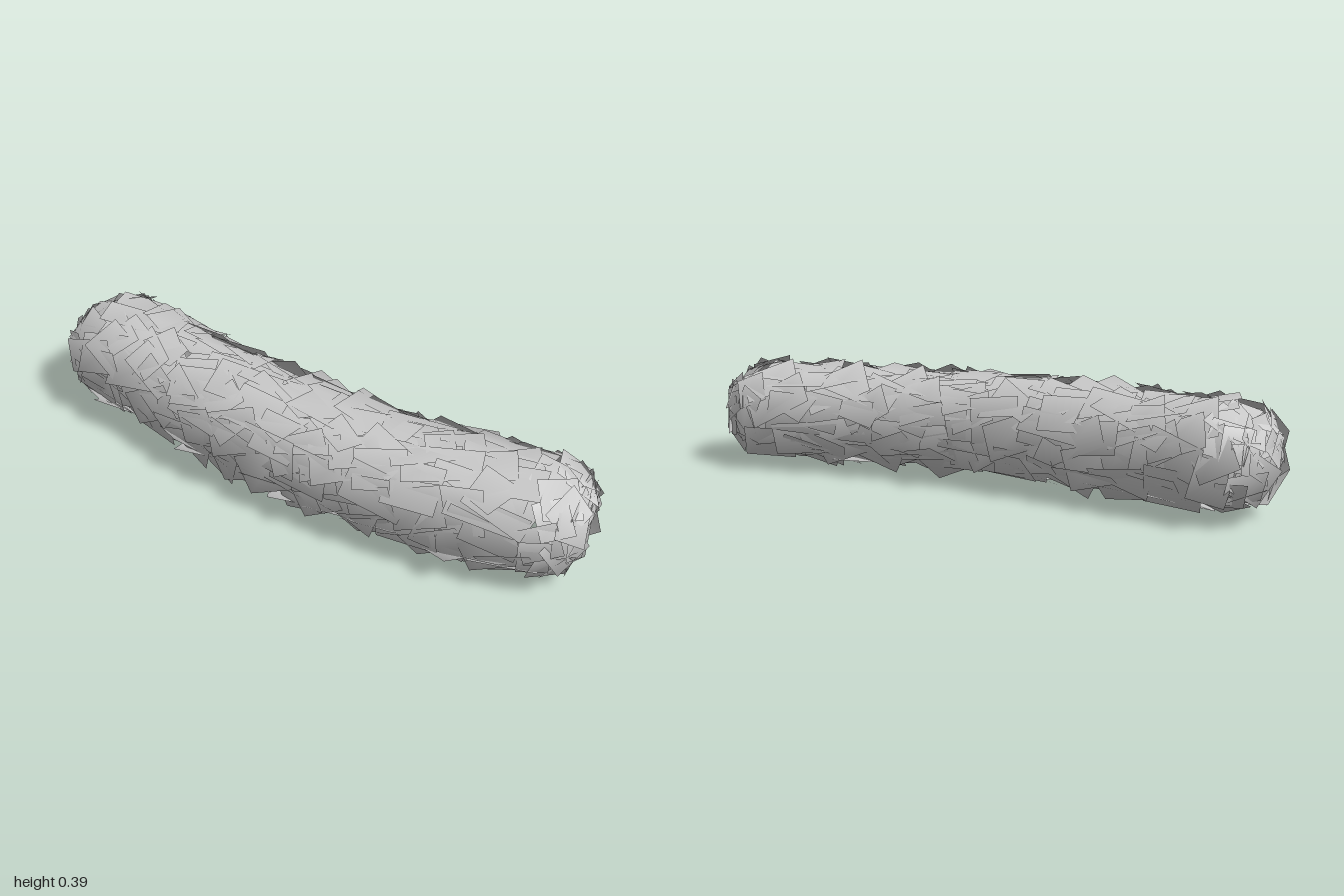
import * as THREE from 'three';
import { mergeGeometries } from 'three/addons/utils/BufferGeometryUtils.js';

const HALF_HEIGHT = 0.15, HALF_DEPTH = 0.19;
const UP = new THREE.Vector3(0, 1, 0);

// small seeded generator, returns -1..1
let seed = 7;
function jitter() {
  seed = (seed * 16807) % 2147483647;
  return (seed / 2147483647) * 2 - 1;
}

// gently bent centre line, lying flat
const spine = new THREE.CatmullRomCurve3([
  [-0.965, 0.165], [-0.5, 0.145], [0, 0.09], [0.4, -0.01], [0.65, -0.11], [0.94, -0.23],
].map(([x, z]) => new THREE.Vector3(x, 0.205, z)));

// round-shouldered profile: x = position along the spine (0..1), y = relative radius
const profile = new THREE.Path();
profile.moveTo(0, 0);
profile.bezierCurveTo(0, 0.6, 0.015, 0.95, 0.08, 1);
profile.lineTo(0.92, 1);
profile.bezierCurveTo(0.985, 0.95, 1, 0.6, 1, 0);

// point on the bent body: u along the profile, v = angle round it
// the lower half is squarer, so that the sides hang down like a skirt
function surface(u, v) {
  const p = profile.getPoint(THREE.MathUtils.clamp(u, 0.003, 0.997));
  const s = THREE.MathUtils.clamp(p.x, 0, 1);
  const side = spine.getTangentAt(s).cross(UP).normalize();
  const c = Math.cos(v), h = Math.sin(v);
  const power = h < 0 ? 0.7 : 0.9;
  return spine.getPointAt(s)
    .addScaledVector(side, Math.sign(c) * Math.abs(c) ** power * HALF_DEPTH * p.y)
    .addScaledVector(UP, Math.sign(h) * Math.abs(h) ** power * HALF_HEIGHT * p.y);
}

// one leaf card lying on the body, with normals that follow the body
function leafCard(u, v, length) {
  const centre = surface(u, v);
  const along = surface(u + 0.003, v).sub(surface(u - 0.003, v)).normalize();
  const around = surface(u, v + 0.05).sub(surface(u, v - 0.05)).normalize();
  const normal = along.clone().cross(around).normalize();
  around.copy(normal).cross(along);

  const card = new THREE.PlaneGeometry(length * (1 + 0.2 * jitter()), 0.125 + 0.025 * jitter());
  card.rotateX(0.24 * jitter());
  card.rotateY(0.2 * jitter());
  card.rotateZ(0.55 * jitter());
  card.applyMatrix4(new THREE.Matrix4().makeBasis(along, around, normal).setPosition(centre));

  const pos = card.attributes.position, nor = card.attributes.normal;
  const p = new THREE.Vector3(), n = new THREE.Vector3();
  for (let i = 0; i < pos.count; i++) {
    const offset = p.fromBufferAttribute(pos, i).sub(centre).dot(around);
    n.copy(normal).multiplyScalar(0.18).addScaledVector(around, offset).normalize();
    nor.setXYZ(i, n.x, n.y, n.z);
  }
  return card;
}

// rings of cards between two profile positions, thinned out underneath
function leafRings(from, to, rings, length) {
  const cards = [];
  const step = (to - from) / rings;
  for (let i = 0; i < rings; i++) {
    const u = from + step * (i + 0.5);
    const count = Math.max(4, Math.round(15 * profile.getPoint(u).y));
    const start = jitter() * Math.PI;
    for (let k = 0; k < count; k++) {
      const v = start + (k + 0.3 * jitter()) * Math.PI * 2 / count;
      const isUnderside = Math.sin(v) < -0.8;
      if (isUnderside && jitter() > -0.5) continue;
      cards.push(leafCard(u + 0.35 * step * jitter(), v, length));
    }
  }
  return mergeGeometries(cards);
}

export function createModel() {
  seed = 7;
  const group = new THREE.Group();
  group.name = 'hedge';
  const material = new THREE.MeshStandardMaterial({ color: 0xcccccc, side: THREE.DoubleSide });

  const [capEnd, bodyEnd, total] = profile.getCurveLengths();
  const parts = [
    ['rightEndLeaves', 0, capEnd / total, 5, 0.115],
    ['bodyLeaves', capEnd / total, bodyEnd / total, 17, 0.19],
    ['leftEndLeaves', bodyEnd / total, 1, 5, 0.115],
  ];
  for (const [name, from, to, rings, length] of parts) {
    const mesh = new THREE.Mesh(leafRings(from, to, rings, length), material);
    mesh.name = name;
    group.add(mesh);
  }
  return group;
}
